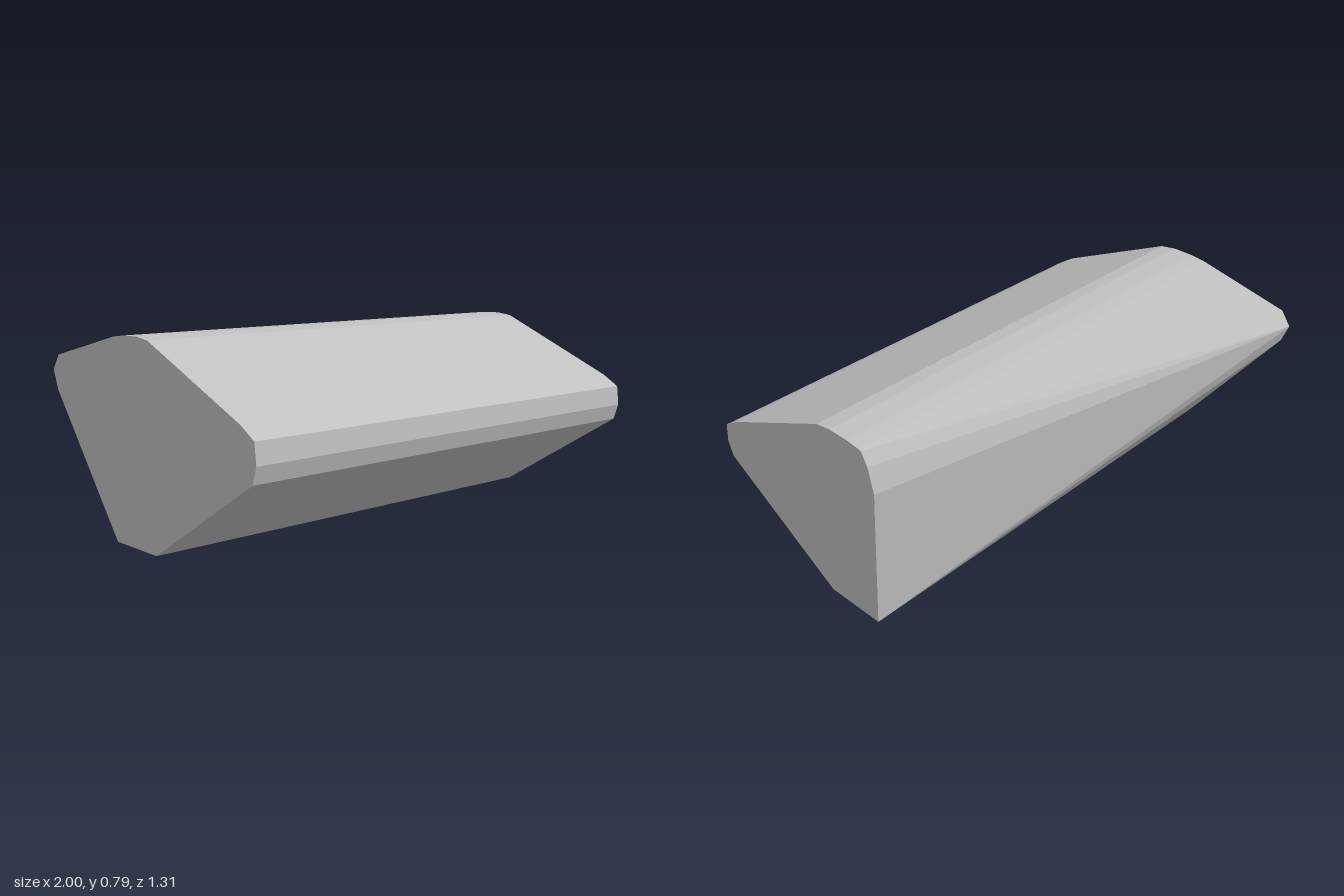
import * as THREE from 'three';
import { ConvexGeometry } from 'three/addons/geometries/ConvexGeometry.js';

export function createModel() {
  const group = new THREE.Group();
  group.name = 'taperedBlock';
  const grey = new THREE.MeshStandardMaterial({ color: 0xc0c0c0, flatShading: true });
  grey.name = 'plain grey';

  // Section points as [z, y]: bottom, rounded nose and crown shared by both ends
  const shared = [
    [-0.205, 0], [0.06, 0],
    [0.635, 0.355], [0.656, 0.42], [0.647, 0.5], [0.575, 0.545],
    [0.04, 0.78], [-0.03, 0.79], [-0.125, 0.788], [-0.19, 0.78],
  ];
  // Rounded rear edge of the narrow end and of the deep end
  const narrowRear = [[-0.197, 0.778], [-0.225, 0.725], [-0.248, 0.62]];
  const deepRear = [[-0.612, 0.682], [-0.656, 0.62], [-0.625, 0.54]];

  const section = (x, rear) => [...shared, ...rear].map(([z, y]) => new THREE.Vector3(x, y, z));

  // Solid body spanned between the two end sections
  const body = new THREE.Mesh(
    new ConvexGeometry([...section(1, narrowRear), ...section(-1, deepRear)]), grey);
  body.name = 'body';
  group.add(body);
  return group;
}
